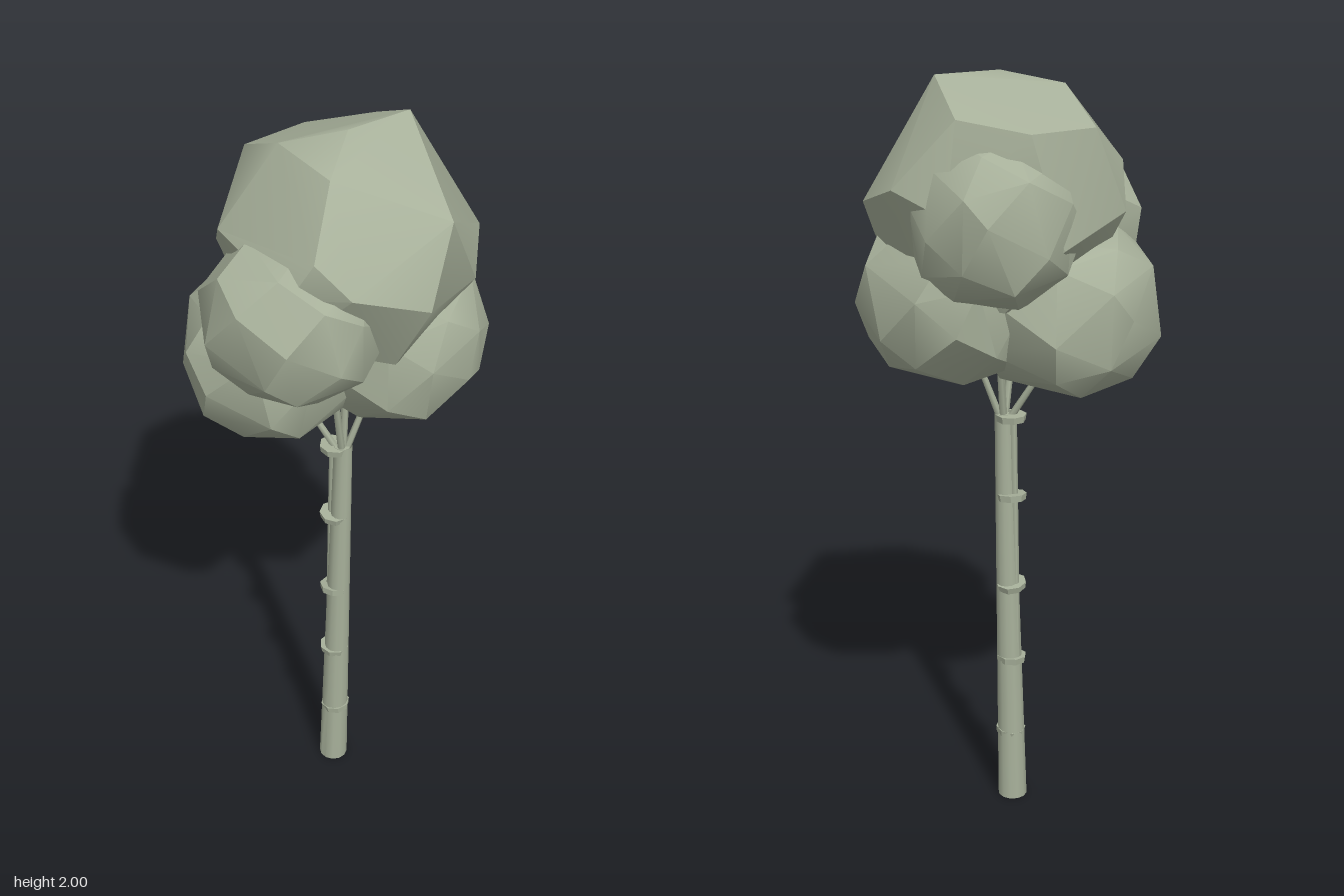
import * as THREE from 'three';
import { toCreasedNormals } from 'three/addons/utils/BufferGeometryUtils.js';
import { ConvexGeometry } from 'three/addons/geometries/ConvexGeometry.js';

const sage = new THREE.MeshStandardMaterial({ color: 0xa7b09a, side: THREE.DoubleSide });
sage.name = 'sage';

const V = (x, y, z) => new THREE.Vector3(x, y, z);

function add(group, name, geometry) {
  const mesh = new THREE.Mesh(geometry, sage);
  mesh.name = name;
  group.add(mesh);
  return mesh;
}

// Faceted hull with partly softened edges
const hull = (points) => toCreasedNormals(new ConvexGeometry(points), 0.55);

// Irregular, slightly boxy faceted clump stretched to fill the box lo..hi
function clump(lo, hi, seed) {
  const rand = () => (seed = (seed * 16807) % 2147483647) / 2147483647;
  const full = (c) => Math.sign(c) * Math.abs(c) ** 0.87;
  const n = 36, points = [], turn = rand() * 6;
  for (let i = 0; i < n; i++) {
    const y = 1 - (2 * i + 1) / n + (rand() - 0.5) * 0.04;
    const a = turn + i * 2.39996 + (rand() - 0.5) * 0.35;
    const r = Math.sqrt(Math.max(0, 1 - y * y));
    points.push(V(full(r * Math.cos(a)), full(y), full(r * Math.sin(a))));
  }
  const box = new THREE.Box3().setFromPoints(points);
  const scale = hi.clone().sub(lo).divide(box.getSize(V(0, 0, 0)));
  return hull(points.map((p) => p.sub(box.min).multiply(scale).add(lo)));
}

// Tapered rod between two points
function rod(a, b, ra, rb, sides) {
  const dir = b.clone().sub(a);
  const g = new THREE.CylinderGeometry(rb, ra, dir.length(), sides);
  g.applyQuaternion(new THREE.Quaternion().setFromUnitVectors(V(0, 1, 0), dir.clone().normalize()));
  const mid = a.clone().add(b).multiplyScalar(0.5);
  return g.translate(mid.x, mid.y, mid.z);
}

export function createModel() {
  const tree = new THREE.Group();
  tree.name = 'tree';

  // Leaning hollow trunk with a level foot
  const trunk = new THREE.CylinderGeometry(0.024, 0.04, 1.13, 12, 4, true);
  trunk.translate(0, 0.565, 0);
  const pos = trunk.attributes.position;
  for (let i = 0; i < pos.count; i++) {
    const t = pos.getY(i) / 1.13;
    pos.setX(i, pos.getX(i) + 0.01 + 0.024 * t);
    pos.setZ(i, pos.getZ(i) - 0.012 - 0.005 * t);
  }
  trunk.computeVertexNormals();
  add(tree, 'trunk', toCreasedNormals(trunk, 0.8));

  // Thin stem running up the back of the trunk
  add(tree, 'sideStem', rod(V(-0.008, 0.25, -0.012), V(0.008, 1.12, -0.01), 0.01, 0.01, 6));

  // Bark ledges
  [0.2, 0.425, 0.645, 0.9, 1.12].forEach((y, i) => {
    const ledge = add(tree, 'barkLedge', toCreasedNormals(new THREE.CylinderGeometry(0.041, 0.038, 0.018, 8), 0.5));
    ledge.position.set(i ? 0.013 : 0.017, y, -0.012);
    ledge.rotation.set(0.1 * Math.sin(i * 2.3), i, 0.1 * Math.cos(i * 1.9));
  });

  // Branches fanning out from the trunk top
  const fork = V(0.034, 1.09, -0.016);
  [[-0.09, 1.3, 0.03], [0.09, 1.32, -0.08], [0.05, 1.45, 0.07], [-0.01, 1.47, -0.1], [0.04, 1.45, -0.03]]
    .forEach((p) => add(tree, 'branch', rod(fork, V(...p), 0.01, 0.007, 6)));

  // Large upper foliage
  add(tree, 'crown', hull([
    [0.1, 2, -0.19], [0.04, 2, -0.02], [-0.09, 1.97, 0.07], [-0.25, 1.89, -0.02], [-0.2, 1.89, -0.2],
    [-0.05, 1.92, -0.29], [0.24, 1.7, -0.3], [0.32, 1.85, -0.02], [0.33, 1.67, 0.08], [0.09, 1.95, 0.13],
    [0.22, 1.74, 0.24], [0.13, 1.81, 0.255], [0.08, 1.72, 0.28], [-0.18, 1.78, 0.19], [-0.27, 1.68, 0.08],
    [-0.26, 1.62, -0.15], [-0.06, 1.7, -0.34], [0.1, 1.75, -0.35], [0.28, 1.6, -0.22], [0.24, 1.5, 0.08],
    [0.05, 1.41, -0.04], [-0.15, 1.47, 0.08], [-0.12, 1.46, -0.2], [0.12, 1.45, -0.24], [0.03, 1.55, 0.22],
  ].map((p) => V(...p))));

  // Smaller foliage clumps around it
  add(tree, 'lowerFoliageMinusX', clump(V(-0.345, 1.2, -0.19), V(0.11, 1.64, 0.3), 11));
  add(tree, 'lowerFoliagePlusX', clump(V(-0.13, 1.24, -0.345), V(0.345, 1.66, 0.11), 507));
  add(tree, 'frontFoliage', clump(V(-0.2, 1.41, -0.05), V(0.23, 1.8, 0.365), 9001));
  add(tree, 'backFoliage', clump(V(-0.265, 1.46, -0.365), V(0.14, 1.87, 0.03), 70003));

  return tree;
}
